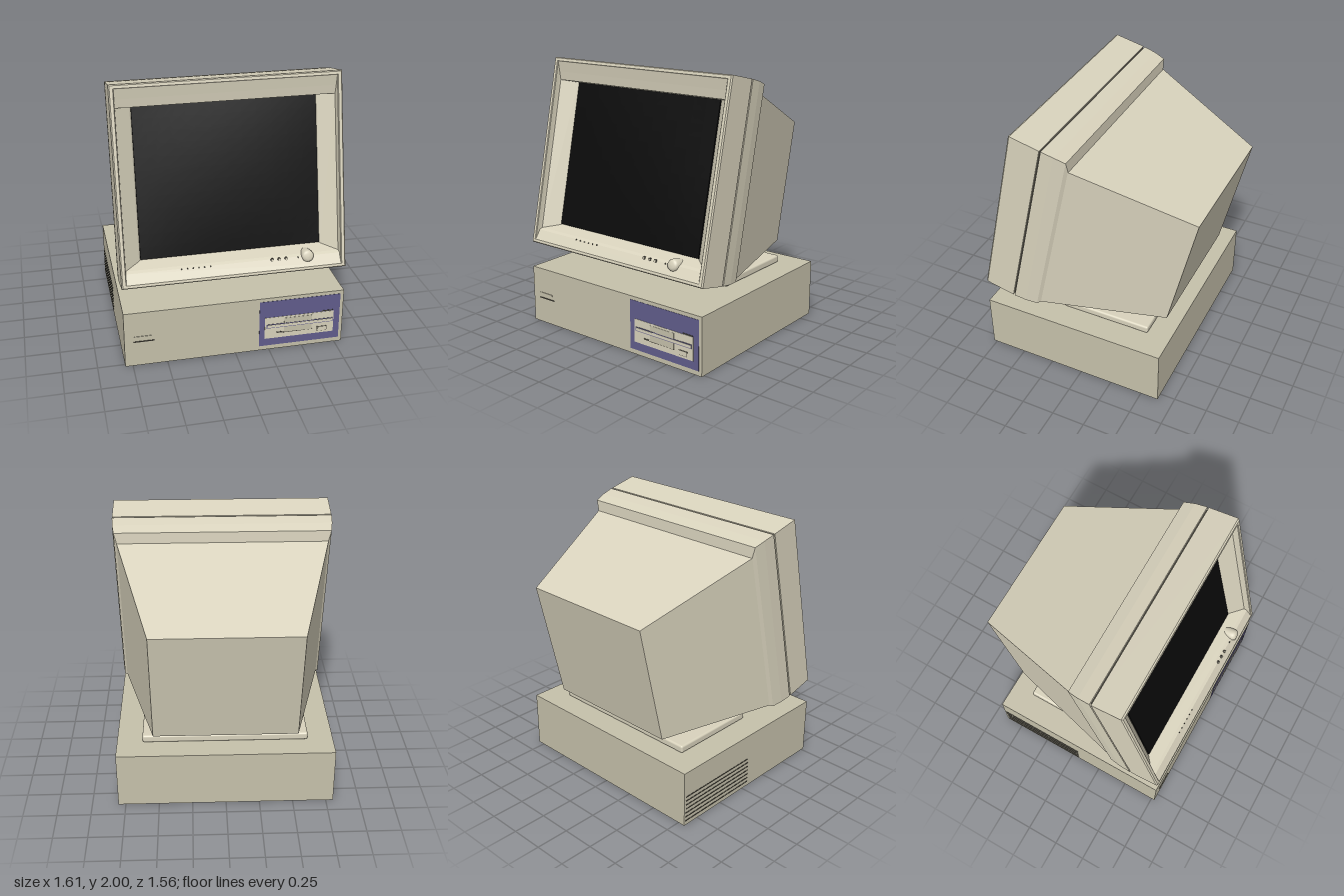
import * as THREE from 'three';
import { RoundedBoxGeometry } from 'three/addons/geometries/RoundedBoxGeometry.js';

const mat = (name, color) => {
  const m = new THREE.MeshStandardMaterial({ color });
  m.name = name;
  return m;
};

// Lofts rectangular rings [z, halfWidth, bottom, top]; optional caps on the first and last ring.
function loft(rings, capFirst, capLast) {
  const corners = rings.map(([z, w, b, t]) => [[-w, b, z], [w, b, z], [w, t, z], [-w, t, z]]);
  const pos = [];
  const quad = (a, b, c, d) => pos.push(...a, ...b, ...c, ...a, ...c, ...d);
  for (let r = 0; r + 1 < corners.length; r++) {
    const A = corners[r], B = corners[r + 1];
    for (let i = 0; i < 4; i++) {
      const j = (i + 1) % 4;
      quad(A[i], B[i], B[j], A[j]);
    }
  }
  const F = corners[0], L = corners[corners.length - 1];
  if (capFirst) quad(F[0], F[1], F[2], F[3]);
  if (capLast) quad(L[0], L[3], L[2], L[1]);
  const g = new THREE.BufferGeometry();
  g.setAttribute('position', new THREE.Float32BufferAttribute(pos, 3));
  g.computeVertexNormals();
  return g;
}

export function createModel() {
  const cream = mat('cream plastic', 0xd9d3bd);
  const beige = mat('beige case', 0xc6c1ab);
  const purple = mat('purple panel', 0x615d8c);
  const black = mat('black glass', 0x0a0a0a);
  const dark = mat('dark detail', 0x4a473e);

  const root = new THREE.Group();
  root.name = 'desktopComputer';
  const add = (parent, name, geo, material, x = 0, y = 0, z = 0) => {
    const m = new THREE.Mesh(geo, material);
    m.name = name;
    m.position.set(x, y, z);
    parent.add(m);
    return m;
  };
  // Box given by its x and y ranges, standing out from z0 to z1
  const plate = (parent, name, material, x0, x1, y0, y1, z0, z1) =>
    add(parent, name, new THREE.BoxGeometry(x1 - x0, y1 - y0, z1 - z0), material,
      (x0 + x1) / 2, (y0 + y1) / 2, (z0 + z1) / 2);

  // System unit
  const unit = new THREE.Group();
  unit.name = 'systemUnit';
  root.add(unit);
  plate(unit, 'case', beige, -0.805, 0.805, 0, 0.432, -0.635, 0.776);

  // Disk drive in its coloured panel
  const drive = new THREE.Group();
  drive.name = 'diskDrive';
  unit.add(drive);
  plate(drive, 'drivePanel', purple, 0.175, 0.78, 0.035, 0.405, 0.774, 0.778);
  plate(drive, 'driveFace', cream, 0.215, 0.735, 0.095, 0.27, 0.776, 0.78);
  plate(drive, 'handleRecess', beige, 0.36, 0.57, 0.135, 0.255, 0.778, 0.782);
  plate(drive, 'handleShadow', dark, 0.355, 0.575, 0.133, 0.138, 0.778, 0.782);
  plate(drive, 'slotBorder', purple, 0.228, 0.727, 0.182, 0.213, 0.778, 0.783);
  plate(drive, 'slotBar', cream, 0.233, 0.722, 0.187, 0.208, 0.778, 0.785);
  plate(drive, 'driveLight', dark, 0.305, 0.35, 0.135, 0.145, 0.778, 0.782);
  plate(drive, 'buttonBorder', dark, 0.61, 0.685, 0.11, 0.15, 0.778, 0.781);
  plate(drive, 'driveButton', cream, 0.614, 0.681, 0.114, 0.146, 0.778, 0.784);
  plate(drive, 'driveTab', dark, 0.645, 0.73, 0.273, 0.28, 0.776, 0.78);

  // Trim lines at the front, vents on one side
  plate(unit, 'trimLine', dark, -0.74, -0.59, 0.194, 0.2, 0.774, 0.781);
  plate(unit, 'trimBar', beige, -0.735, -0.61, 0.225, 0.24, 0.774, 0.78);
  for (let i = 0; i < 7; i++) {
    add(unit, 'vent', new THREE.BoxGeometry(0.004, 0.009, 0.68), dark, -0.805, 0.035 + i * 0.033, -0.28);
  }

  // Swivel foot
  add(root, 'swivelPlate', new RoundedBoxGeometry(1.23, 0.058, 0.69, 3, 0.015), cream, 0, 0.461, -0.115);
  const neck = add(root, 'swivelNeck', new THREE.CylinderGeometry(0.31, 0.215, 0.085, 32), cream, 0, 0.53, -0.12);
  neck.scale.z = 0.53;

  // Monitor, tilted back about the lower front edge
  const monitor = new THREE.Group();
  monitor.name = 'monitor';
  monitor.position.set(0, 0.63, 0.78);
  monitor.rotation.x = -0.222;
  root.add(monitor);

  // From the deep end of the recess, round the rim and back to the seam
  add(monitor, 'bezel', loft([
    [-0.2, 0.6, 0.19, 1.2], [-0.13, 0.66, 0.155, 1.238], [-0.05, 0.765, 0.115, 1.24],
    [-0.03, 0.768, 0.1, 1.3], [-0.005, 0.77, 0.03, 1.37], [0, 0.775, 0.026, 1.375],
    [0, 0.797, 0.007, 1.395], [-0.01, 0.805, 0, 1.402], [-0.235, 0.805, 0, 1.402],
    [-0.235, 0.79, 0.015, 1.387],
  ], true, false), cream);
  add(monitor, 'seam', loft([[-0.235, 0.79, 0.015, 1.387], [-0.247, 0.79, 0.015, 1.387]], false, false), dark);
  add(monitor, 'rearBand', loft([
    [-0.247, 0.79, 0.015, 1.387], [-0.247, 0.805, 0, 1.402], [-0.34, 0.799, 0.005, 1.398],
    [-0.425, 0.785, 0.015, 1.387], [-0.447, 0.765, 0.03, 1.31],
  ], false, false), cream);
  add(monitor, 'rearHousing', loft([[-0.44, 0.768, 0.028, 1.311], [-1.335, 0.53, 0.235, 1.167]], false, true), cream);

  // Slightly bulging screen
  const glass = new THREE.BoxGeometry(1.3, 1.075, 0.06, 12, 12, 1);
  const p = glass.attributes.position;
  for (let i = 0; i < p.count; i++) {
    if (p.getZ(i) > 0) {
      const u = p.getX(i) / 0.65, v = p.getY(i) / 0.5375;
      p.setZ(i, 0.03 + 0.014 * (1 - u * u) * (1 - v * v));
    }
  }
  glass.computeVertexNormals();
  add(monitor, 'screen', glass, black, 0, 0.701, -0.16);

  // Indicators, buttons and knob below the screen
  const stud = (name, x, r, len, material) => {
    const m = add(monitor, name, new THREE.CylinderGeometry(r, r, len, 12), material, x, 0.095, -0.03);
    m.rotation.x = Math.PI / 2;
  };
  for (let i = 0; i < 6; i++) stud('indicator', -0.38 + i * 0.041, 0.005, 0.012, dark);
  for (let i = 0; i < 3; i++) {
    stud('buttonRing', 0.27 + i * 0.051, 0.012, 0.012, dark);
    stud('button', 0.27 + i * 0.051, 0.009, 0.024, cream);
  }
  stud('powerLight', 0.46, 0.006, 0.012, dark);
  const profile = [[0.042, -0.05], [0.045, 0], [0.043, 0.03], [0.036, 0.045], [0.02, 0.05], [0, 0.051]]
    .map(([r, y]) => new THREE.Vector2(r, y));
  const knob = add(monitor, 'knob', new THREE.LatheGeometry(profile, 24), cream, 0.53, 0.1, -0.05);
  knob.rotation.x = Math.PI / 2;

  return root;
}
